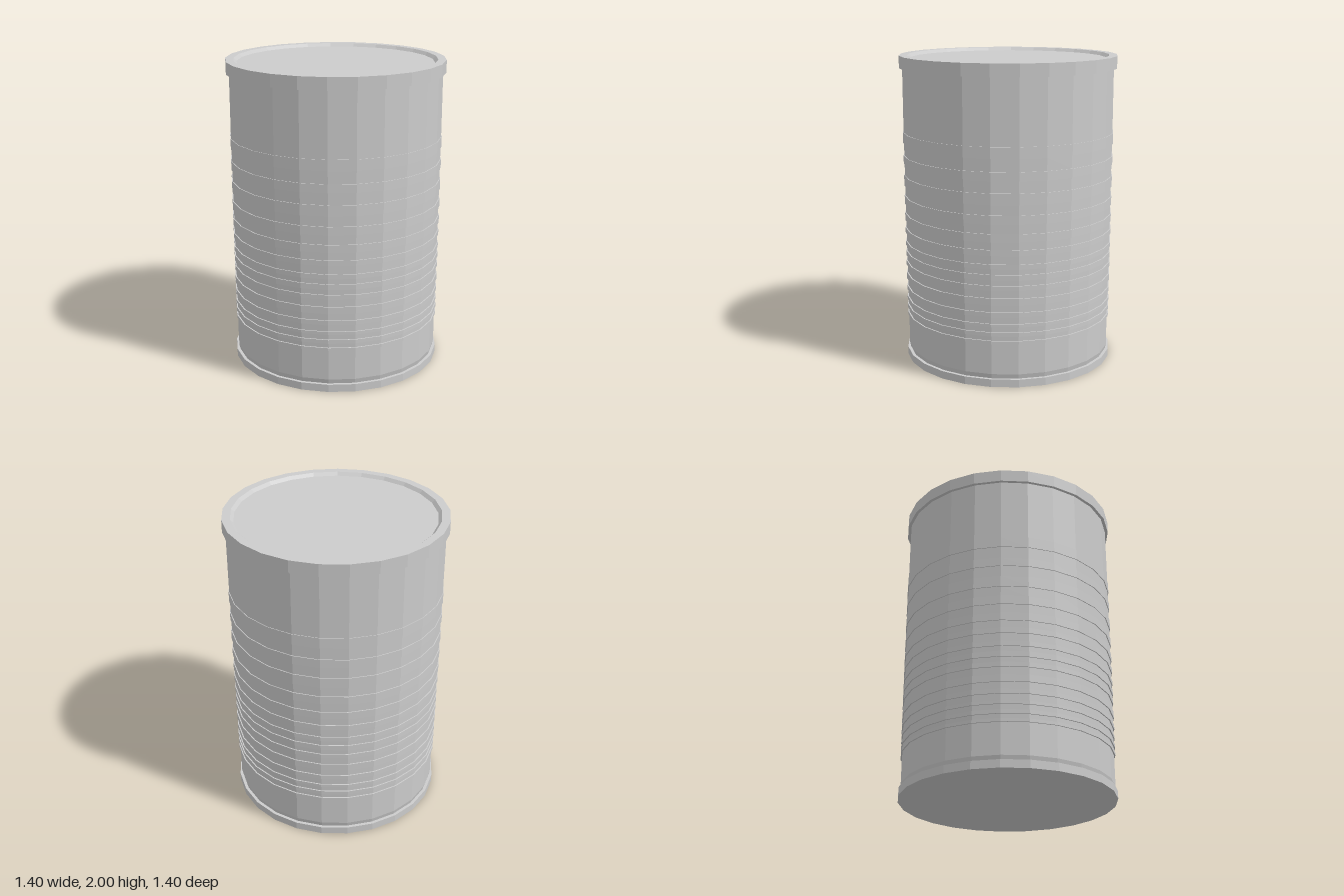
import * as THREE from 'three';

const SIDES = 25;

export function createModel() {
  const group = new THREE.Group();
  group.name = 'tinCan';
  const material = new THREE.MeshStandardMaterial({ color: 0xcccccc, flatShading: true });

  // Faceted ring turned from [radius, height] points, listed so faces look outward
  const turn = (name, profile) => {
    const points = profile.map(([r, y]) => new THREE.Vector2(r, y));
    const geometry = new THREE.LatheGeometry(points, SIDES, Math.PI / 2).toNonIndexed();
    geometry.computeVertexNormals();
    const mesh = new THREE.Mesh(geometry, material);
    mesh.name = name;
    group.add(mesh);
  };

  // Flat disc closing an end, facing up or down
  const disc = (name, radius, y, facing) => {
    const geometry = new THREE.CircleGeometry(radius, SIDES);
    geometry.rotateX(-facing * Math.PI / 2);
    const mesh = new THREE.Mesh(geometry, material);
    mesh.name = name;
    mesh.position.y = y;
    group.add(mesh);
  };

  // Bottom and its raised rim
  disc('bottom', 0.685, 0, -1);
  turn('bottomRim', [[0.685, 0], [0.685, 0.05], [0.665, 0.05]]);

  // Wall with square-stepped ribs, [bottom, top] heights, widening slightly upward
  const ribs = [
    [0.28, 0.30], [0.33, 0.355], [0.39, 0.41], [0.455, 0.485], [0.53, 0.575],
    [0.625, 0.655], [0.69, 0.725], [0.76, 0.79], [0.845, 0.88], [0.93, 0.98],
    [1.04, 1.095], [1.16, 1.23], [1.305, 1.36], [1.44, 1.51],
  ];
  const wall = [[0.665, 0.05], [0.672, 0.08]];
  ribs.forEach(([low, high], i) => {
    const t = i / (ribs.length - 1);
    const groove = 0.672 + 0.009 * t;
    const ridge = 0.68 + 0.006 * t;
    wall.push([groove, low], [ridge, low], [ridge, high], [groove, high]);
  });
  wall.push([0.682, 1.51], [0.682, 1.92]);
  turn('ribbedWall', wall);

  // Top rim with a sloped inner edge, and the sunken lid
  turn('topRim', [[0.682, 1.92], [0.702, 1.92], [0.702, 2], [0.65, 2], [0.63, 1.98]]);
  disc('lid', 0.63, 1.98, 1);

  // An odd number of sides is off centre in x by a hair
  group.children.forEach((part) => { part.position.x = -0.003; });
  return group;
}
